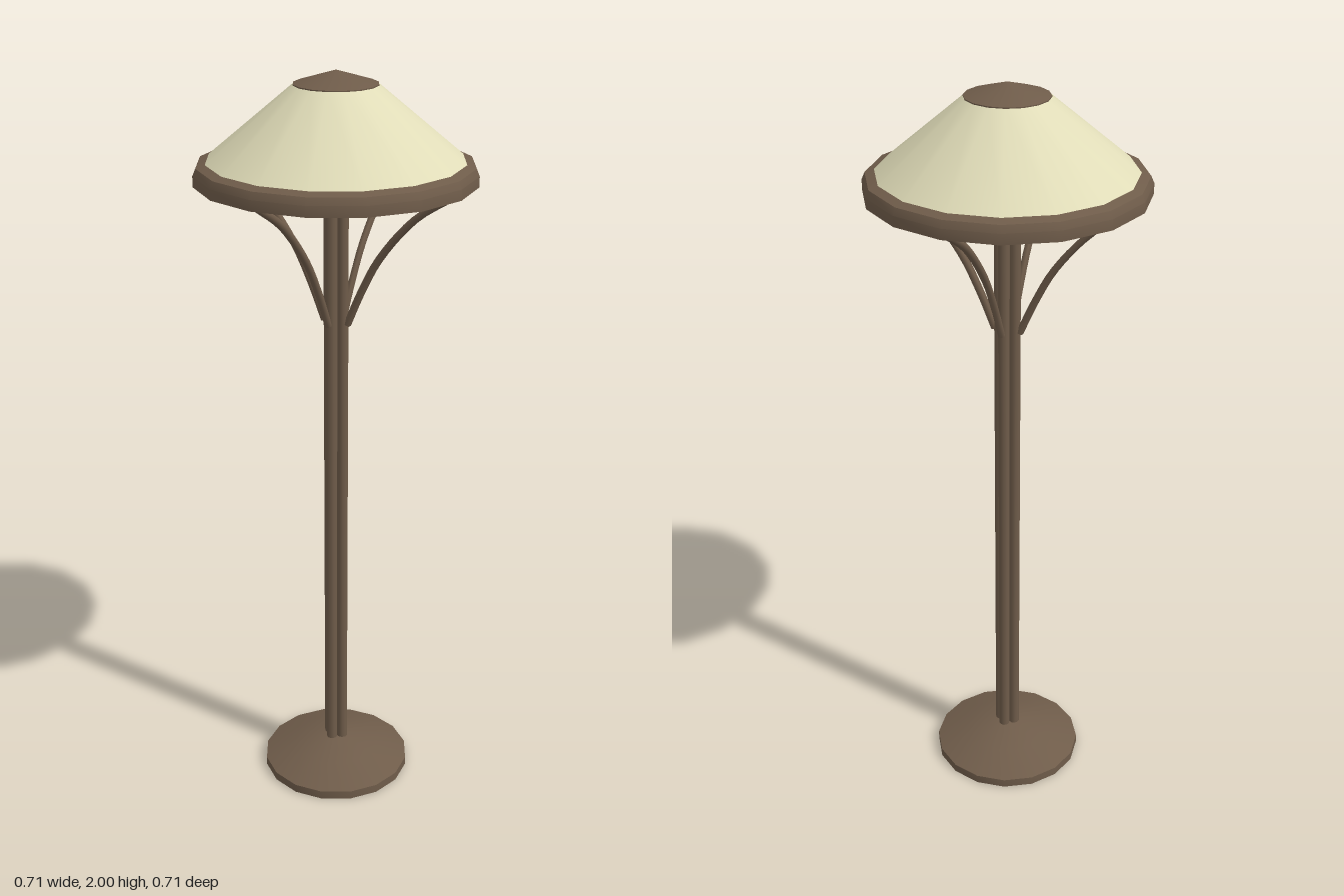
import * as THREE from 'three';
import { toCreasedNormals } from 'three/addons/utils/BufferGeometryUtils.js';

const SIDES = 16;
const bronze = new THREE.MeshStandardMaterial({ color: 0x6f5c4a });
bronze.name = 'bronze';
const cream = new THREE.MeshStandardMaterial({ color: 0xe0dcb8, side: THREE.DoubleSide });
cream.name = 'cream glass';

// Round part from [radius, height] pairs, bottom to top along the outside
function turned(name, profile, material) {
  const points = profile.map(([r, y]) => new THREE.Vector2(r, y));
  const geometry = toCreasedNormals(new THREE.LatheGeometry(points, SIDES), 0.5);
  const mesh = new THREE.Mesh(geometry, material);
  mesh.name = name;
  return mesh;
}

export function createModel() {
  const lamp = new THREE.Group();
  lamp.name = 'gardenLamp';

  // Foot with a gently domed top
  lamp.add(turned('base', [[0, 0], [0.207, 0], [0.207, 0.024], [0.12, 0.06], [0.035, 0.085], [0, 0.085]], bronze));

  // Stepped holder at the head of the post
  lamp.add(turned('socketCollar', [[0, 1.665], [0.057, 1.665], [0.057, 1.712], [0, 1.712]], bronze));
  lamp.add(turned('socketDish', [[0, 1.71], [0.1, 1.71], [0.1, 1.755], [0, 1.755]], bronze));

  // Rim ring, open shade and conical cap
  lamp.add(turned('rim', [[0.302, 1.768], [0.302, 1.73], [0.356, 1.73], [0.356, 1.757],
    [0.348, 1.775], [0.322, 1.784], [0.302, 1.768]], bronze));
  lamp.add(turned('shade', [[0.338, 1.772], [0.105, 1.966]], cream));
  lamp.add(turned('cap', [[0, 1.964], [0.106, 1.964], [0.106, 1.968], [0, 2]], bronze));

  // Four clustered rods and four curved braces, one of each per side
  const rodGeometry = new THREE.CylinderGeometry(0.015, 0.015, 1.63, 10);
  const curve = new THREE.CatmullRomCurve3([
    [0.035, 1.36], [0.075, 1.45], [0.13, 1.55], [0.23, 1.665], [0.33, 1.733],
  ].map(([x, y]) => new THREE.Vector3(x, y, 0)));
  const braceGeometry = new THREE.TubeGeometry(curve, 16, 0.01, 6);
  for (let i = 0; i < 4; i++) {
    const side = new THREE.Group();
    side.name = 'postSide';
    side.rotation.y = i * Math.PI / 2;
    const rod = new THREE.Mesh(rodGeometry, bronze);
    rod.name = 'postRod';
    rod.position.set(0.021, 0.865, 0);
    const brace = new THREE.Mesh(braceGeometry, bronze);
    brace.name = 'brace';
    side.add(rod, brace);
    lamp.add(side);
  }
  return lamp;
}
